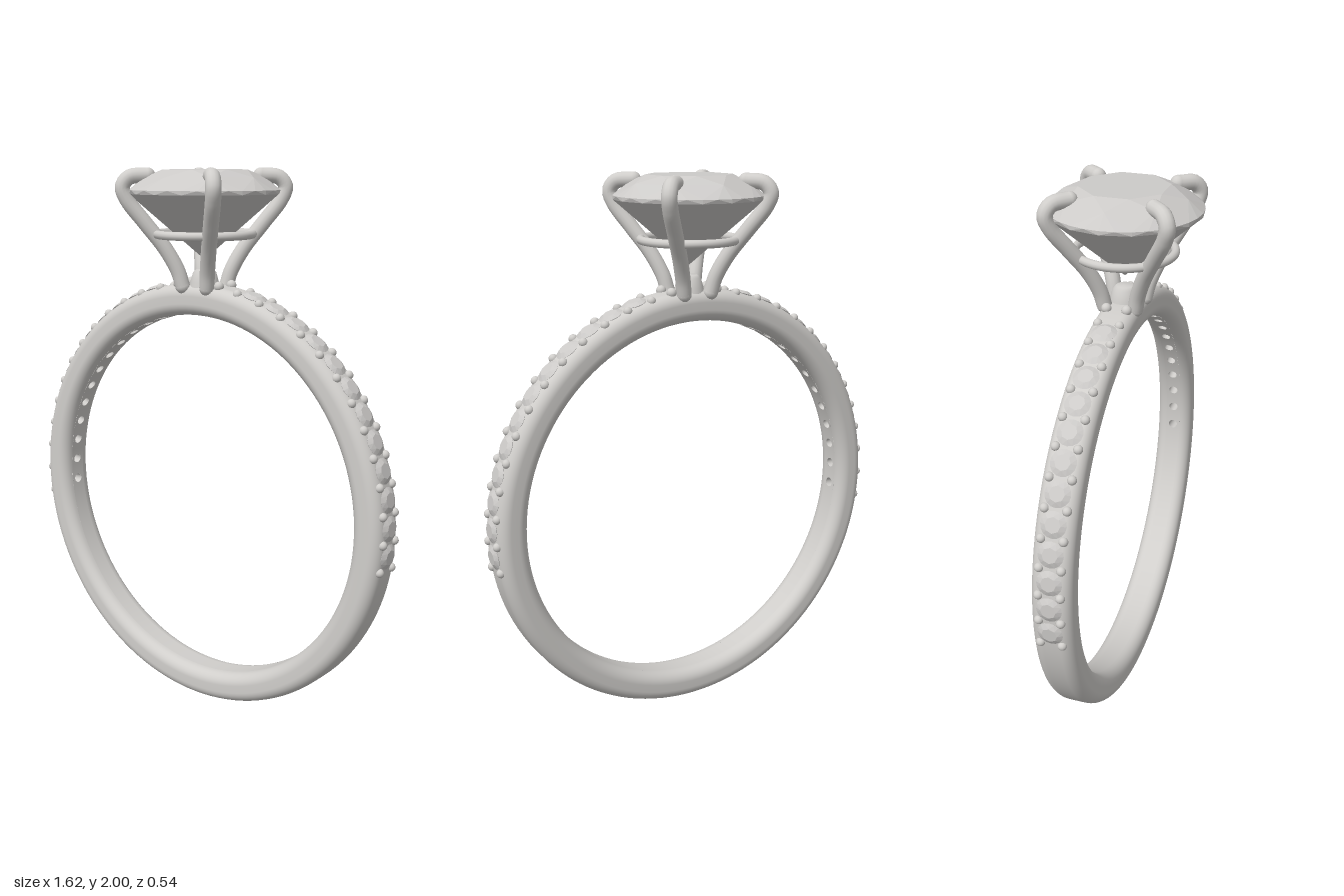
import * as THREE from 'three';
import { mergeGeometries } from 'three/addons/utils/BufferGeometryUtils.js';
import { ConvexGeometry } from 'three/addons/geometries/ConvexGeometry.js';

const CY = 0.797, R_OUT = 0.797, R_IN = 0.685;   // band centre height and radii
const HALF_W = 0.072, FLAT = 0.03;               // band half width, flat half width
const STEP = THREE.MathUtils.degToRad(7.1);      // angle between accent stones
const START = THREE.MathUtils.degToRad(-8.2);
const COUNT = 12;

const metal = new THREE.MeshStandardMaterial({ color: 0xd0cecb, side: THREE.DoubleSide });
metal.name = 'pale metal';
const gem = new THREE.MeshStandardMaterial({ color: 0xcccac8 });
gem.name = 'pale stone';

function add(parent, name, geometry, material) {
  const mesh = new THREE.Mesh(geometry, material);
  mesh.name = name;
  parent.add(mesh);
  return mesh;
}

// Circle of points at height y
function ring(radius, y, n, offset = 0) {
  return Array.from({ length: n }, (_, i) => {
    const a = (i + offset) / n * Math.PI * 2;
    return new THREE.Vector3(radius * Math.cos(a), y, radius * Math.sin(a));
  });
}

// The band grows slightly narrower towards the top
function taper(geometry) {
  const p = geometry.attributes.position;
  for (let i = 0; i < p.count; i++) p.setZ(i, p.getZ(i) * (1 - 0.075 * p.getY(i)));
  return geometry;
}

// Wraps a flat sheet onto the inside of the finger hole around angle a
function bendInside(geometry, a) {
  const p = geometry.attributes.position, n = geometry.attributes.normal;
  for (let i = 0; i < p.count; i++) {
    const t = a - p.getX(i) / R_IN, c = Math.cos(t), s = Math.sin(t);
    p.setXYZ(i, R_IN * c, R_IN * s, p.getY(i));
    n.setXYZ(i, -c, -s, 0);
  }
  return geometry;
}

function plainStrip(from, to) {
  const segments = Math.ceil((to - from) / 0.05);
  return bendInside(new THREE.PlaneGeometry((to - from) * R_IN, FLAT * 2, segments, 1), (from + to) / 2);
}

function drilledStrip(a) {
  const w = STEP * R_IN / 2;
  const shape = new THREE.Shape([[-w, -FLAT], [w, -FLAT], [w, FLAT], [-w, FLAT]].map(q => new THREE.Vector2(...q)));
  shape.holes.push(new THREE.Path().absarc(0, 0, 0.018, 0, Math.PI * 2, true));
  return bendInside(new THREE.ShapeGeometry(shape, 10), a);
}

function buildBand(angles) {
  const band = new THREE.Group();
  band.name = 'band';
  // Rounded cross-section, open along the inner flat
  const c = HALF_W - FLAT, profile = [];
  const corners = [[R_IN + c, -FLAT, 2], [R_OUT - c, -FLAT, 3], [R_OUT - c, FLAT, 4], [R_IN + c, FLAT, 5]];
  for (const [x, z, q] of corners)
    for (let i = 0; i <= 8; i++) {
      const a = (q + i / 8) * Math.PI / 2;
      profile.push(new THREE.Vector2(x + c * Math.cos(a), z + c * Math.sin(a)));
    }
  const shank = new THREE.LatheGeometry(profile, 128).rotateX(Math.PI / 2);
  add(band, 'shank', taper(shank), metal);

  // Inner surface with drilled holes behind the accent stones
  const end = START + COUNT * STEP;
  const strips = angles.map(drilledStrip);
  strips.push(plainStrip(end, Math.PI - end), plainStrip(Math.PI - START, Math.PI * 2 + START));
  add(band, 'innerSurface', taper(mergeGeometries(strips)), metal);
  for (const a of angles) {
    const wall = new THREE.CylinderGeometry(0.018, 0.018, 0.085, 20, 1, true);
    const hole = add(band, 'drilledHole', wall, metal);
    hole.position.set(0.728 * Math.cos(a), 0.728 * Math.sin(a), 0);
    hole.rotation.z = a - Math.PI / 2;
  }
  return band;
}

function buildAccents(angles) {
  const accents = new THREE.Group();
  accents.name = 'accentStones';
  const cut = new ConvexGeometry([
    ...ring(0.027, 0.011, 8), ...ring(0.045, 0.001, 16), new THREE.Vector3(0, -0.045, 0)]);
  for (const a of angles) {
    const stone = add(accents, 'accentStone', cut, gem);
    stone.position.set(0.796 * Math.cos(a), 0.796 * Math.sin(a), 0);
    stone.rotation.z = a - Math.PI / 2;
  }
  // Pairs of holding beads between the stones
  const beadShape = new THREE.SphereGeometry(0.016, 14, 10);
  for (let i = 0; i <= COUNT; i++)
    for (const sx of [1, -1])
      for (const sz of [1, -1]) {
        const a = START + i * STEP;
        add(accents, 'bead', beadShape, metal)
          .position.set(sx * 0.794 * Math.cos(a), 0.794 * Math.sin(a), sz * 0.038);
      }
  return accents;
}

function buildSetting() {
  const setting = new THREE.Group();
  setting.name = 'setting';

  // Faceted centre stone: table, crown, girdle and pavilion
  const stone = new ConvexGeometry([
    ...ring(0.155, 1.994, 8, 0.5), ...ring(0.216, 1.967, 8), ...ring(0.268, 1.924, 32),
    ...ring(0.268, 1.91, 16), new THREE.Vector3(0, 1.68, 0)]);
  add(setting, 'centreStone', stone, gem);

  // Four claws curling over the girdle; x equals z along each path
  const path = [[0.056, 1.585], [0.068, 1.64], [0.1, 1.72], [0.15, 1.81], [0.194, 1.89],
    [0.205, 1.935], [0.188, 1.967], [0.142, 1.974]];
  const curve = new THREE.CatmullRomCurve3(path.map(([d, y]) => new THREE.Vector3(d, y, d)));
  const tube = new THREE.TubeGeometry(curve, 40, 0.027, 14);
  const tip = new THREE.SphereGeometry(0.027, 14, 10);
  for (let i = 0; i < 4; i++) {
    const claw = new THREE.Group();
    claw.name = 'claw';
    claw.rotation.y = i * Math.PI / 2;
    add(claw, 'clawStem', tube, metal);
    for (const [d, y] of [path[0], path[path.length - 1]])
      add(claw, 'clawTip', tip, metal).position.set(d, y, d);
    setting.add(claw);
  }

  // Wire joining the claws under the stone
  const wire = new THREE.TorusGeometry(0.172, 0.015, 12, 64).rotateX(Math.PI / 2);
  add(setting, 'galleryWire', wire, metal).position.y = 1.77;

  // Small collar where the setting meets the band
  const collar = new THREE.LatheGeometry(
    [[0.06, 1.56], [0.052, 1.6], [0.042, 1.635], [0.03, 1.645], [0, 1.646]].map(q => new THREE.Vector2(...q)), 24);
  add(setting, 'collar', collar, metal);
  for (const s of [1, -1])
    for (const z of [1, -1])
      add(setting, 'collarBead', new THREE.SphereGeometry(0.018, 14, 10), metal).position.set(s * 0.095, 1.592, z * 0.036);
  return setting;
}

export function createModel() {
  const model = new THREE.Group();
  model.name = 'ring';
  const right = Array.from({ length: COUNT }, (_, i) => START + (i + 0.5) * STEP);
  const angles = [...right, ...right.map(a => Math.PI - a)];
  for (const part of [buildBand(angles), buildAccents(angles)]) {
    part.position.y = CY;
    model.add(part);
  }
  model.add(buildSetting());
  return model;
}
